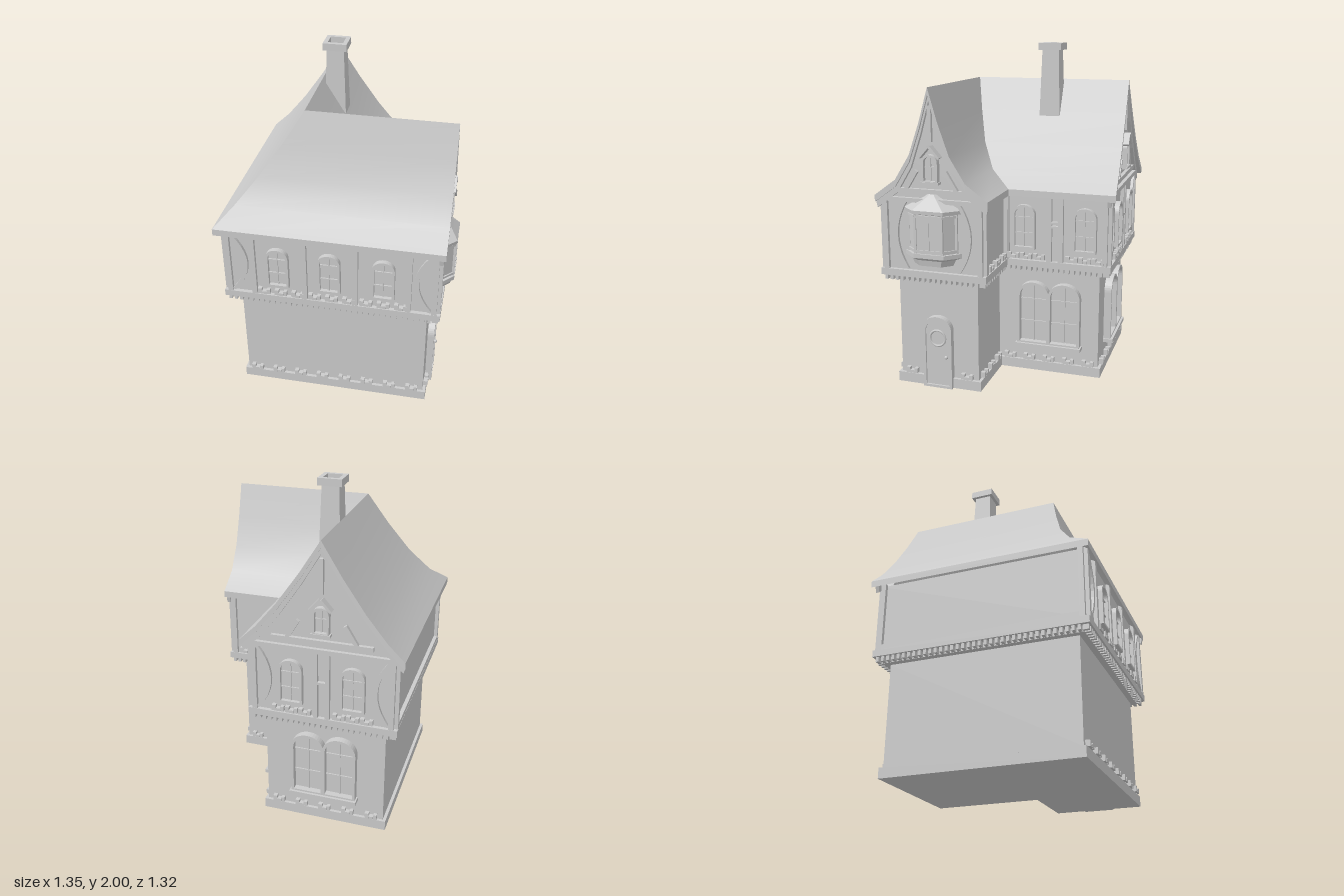
import * as THREE from 'three';
import { mergeGeometries } from 'three/addons/utils/BufferGeometryUtils.js';

const mat = new THREE.MeshStandardMaterial({ color: 0xcccccc, side: THREE.DoubleSide });

// Roof levels: height, half span of the long wing, half span of the short wing
const LEVELS = [[1.78, 0, 0], [1.59, 0.12, 0.055], [1.405, 0.25, 0.12], [1.26, 0.37, 0.21], [1.165, 0.47, 0.34]];
const RX = -0.46, RZ = 0.315; // ridge lines

function add(parent, name, geo, x = 0, y = 0, z = 0) {
  const m = new THREE.Mesh(geo, mat);
  m.name = name;
  m.position.set(x, y, z);
  parent.add(m);
  return m;
}
const box = (w, h, d) => new THREE.BoxGeometry(w, h, d);
const extrude = (shape, depth) => new THREE.ExtrudeGeometry(shape, { depth, bevelEnabled: false, curveSegments: 10 });
const poly = pts => new THREE.Shape(pts.map(p => new THREE.Vector2(p[0], p[1])));

// L-shaped plan grown outward by m, as [x, z]
function plan(m) {
  return [[-0.82 - m, 0.56 + m], [0.29 + m, 0.56 + m], [0.29 + m, 0.07 - m],
    [-0.1 + m, 0.07 - m], [-0.1 + m, -0.56 - m], [-0.82 - m, -0.56 - m]];
}
function slab(parent, name, m, y0, y1) {
  const geo = extrude(poly(plan(m).map(([x, z]) => [x, -z])), y1 - y0);
  add(parent, name, geo.rotateX(-Math.PI / 2), 0, y0, 0);
}

// Wall frame: local x runs along the wall, local z points outward
function wall(parent, name, x, z, rot) {
  const g = new THREE.Group();
  g.name = name;
  g.position.set(x, 0, z);
  g.rotation.y = rot;
  parent.add(g);
  return g;
}

function beam(g, x, y, w, h, tilt = 0, d = 0.022) {
  add(g, 'beam', box(w, h, d), x, y, d / 2).rotation.z = tilt;
}
const post = (g, x, w = 0.03, y0 = 0.73, y1 = 1.15) => beam(g, x, (y0 + y1) / 2, w, y1 - y0);

// Bowed timber from y0 to y1, bulging sideways by b
function brace(g, x, b, y0 = 0.74, y1 = 1.13, w = 0.022) {
  const s = new THREE.Shape(), mid = (y0 + y1) / 2, k = Math.sign(b) * w;
  s.moveTo(x, y0);
  s.quadraticCurveTo(x + 2 * b, mid, x, y1);
  s.lineTo(x - k, y1);
  s.quadraticCurveTo(x + 2 * b - k * 1.2, mid, x - k, y0);
  add(g, 'curvedBrace', extrude(s, 0.018));
}

function archOutline(path, w, y0, y1) {
  const r = w / 2;
  path.moveTo(-r, y0);
  path.lineTo(r, y0);
  path.lineTo(r, y1 - r * 0.9);
  path.absellipse(0, y1 - r * 0.9, r, r * 0.9, 0, Math.PI, false);
  path.lineTo(-r, y0);
  return path;
}

// Arched frame, pane and glazing bars
function archWindow(g, x, y0, y1, w, rows = 2, t = 0.014, depth = 0.03) {
  const frame = archOutline(new THREE.Shape(), w, y0, y1);
  frame.holes.push(archOutline(new THREE.Path(), w - 2 * t, y0 + t, y1 - t));
  add(g, 'windowFrame', extrude(frame, depth), x);
  add(g, 'windowPane', extrude(archOutline(new THREE.Shape(), w - t, y0 + t / 2, y1 - t / 2), 0.008), x);
  add(g, 'glazingBar', box(0.006, y1 - y0 - t, 0.008), x, (y0 + y1) / 2, 0.012);
  for (let i = 1; i <= rows; i++)
    add(g, 'glazingBar', box(w - t, 0.006, 0.008), x, y0 + (y1 - y0) * i / (rows + 0.8), 0.012);
}

function doubleWindow(g, x) {
  for (const s of [-1, 1]) archWindow(g, x + s * 0.096, 0.18, 0.58, 0.2, 2, 0.016, 0.045);
  add(g, 'windowSill', box(0.41, 0.022, 0.06), x, 0.175, 0.03);
}

// Clusters of small stones along a wall
function stones(g, x0, x1, y, n) {
  const parts = [];
  for (let i = 0; i < n; i++) {
    const c = x0 + (x1 - x0) * (i + 0.5) / n;
    parts.push(box(0.024, 0.034, 0.026).translate(c - 0.022, y, 0.013));
    parts.push(box(0.026, 0.017, 0.03).translate(c + 0.004, y - 0.008, 0.013));
    parts.push(box(0.02, 0.03, 0.024).translate(c + 0.028, y - 0.002, 0.013));
  }
  add(g, 'stones', mergeGeometries(parts));
}

// Strip between two polylines of equal length
function sheet(parent, name, P, Q) {
  const pos = [], idx = [];
  P.forEach((p, i) => {
    pos.push(...p, ...Q[i]);
    if (i) { const a = 2 * i - 2; idx.push(a, a + 2, a + 1, a + 1, a + 2, a + 3); }
  });
  const geo = new THREE.BufferGeometry();
  geo.setAttribute('position', new THREE.Float32BufferAttribute(pos, 3));
  geo.setIndex(idx);
  geo.computeVertexNormals();
  add(parent, name, geo);
}

function buildRoof(parent) {
  const roof = new THREE.Group();
  roof.name = 'roof';
  parent.add(roof);
  const down = L => L.map(([x, y, z]) => [x, y - 0.04, z]);
  const corner = s => LEVELS.map(([y, a, b]) => [RX + s * a, y, RZ - s * b]);
  const side = s => LEVELS.map(([y, , b]) => [0.38, y, RZ + s * b]);
  const rear = s => LEVELS.map(([y, a], i) => [RX + s * a, y, -0.64 - 0.006 * i]);
  const hip = corner(-1), valley = corner(1);
  const slopes = [[hip, side(1)], [rear(-1), hip], [side(-1), valley], [valley, rear(1)]];
  for (const [P, Q] of slopes) {
    sheet(roof, 'roofSlope', P, Q);
    sheet(roof, 'roofUnderside', down(Q), down(P));
    const eave = [P[4], Q[4]];
    sheet(roof, 'eaveEdge', down(eave), eave);
  }
  for (const e of [side(1), side(-1), rear(1), rear(-1)]) sheet(roof, 'gableEdge', e, down(e));
}

// Gable infill, curved bargeboards and small attic window; col picks the wing span
function gable(g, col, half) {
  const line = dy => LEVELS.map(L => [Math.min(L[col], half), L[0] - dy]);
  const mirror = L => [...L.slice(1).reverse().map(([x, y]) => [-x, y]), ...L];
  add(g, 'gableWall', extrude(poly(mirror(line(0.035))), 0.06), 0, 0, -0.06);
  const band = (a, b, k) => poly([...LEVELS.map(L => [k * L[col], L[0] - a]), ...LEVELS.map(L => [k * L[col] * 0.97, L[0] - b]).reverse()]);
  for (const k of [-1, 1]) {
    add(g, 'bargeboard', extrude(band(0.03, 0.075, k), 0.022));
    beam(g, k * half * 0.4, 1.26, 0.022, 0.13, k * 0.55);
    const hood = add(g, 'atticHood', box(0.085, 0.014, 0.045), k * 0.032, 1.425, 0.022);
    hood.rotation.z = -k * 0.85;
  }
  beam(g, 0, 1.2, half * 1.4, 0.025);
  beam(g, 0, 1.58, 0.022, 0.2);
  archWindow(g, 0, 1.25, 1.41, 0.095, 1, 0.012, 0.035);
  add(g, 'atticSill', box(0.11, 0.014, 0.04), 0, 1.25, 0.02);
}

// Faceted bay lofted from [height, scale] rings
function loft(g, name, rings) {
  const base = [[-0.16, 0], [-0.085, 0.07], [0.085, 0.07], [0.16, 0]], pos = [];
  const P = (r, i) => [base[i][0] * r[1], r[0], base[i][1] * r[1]];
  for (let k = 1; k < rings.length; k++) for (let i = 0; i < 3; i++) {
    const a = P(rings[k - 1], i), b = P(rings[k - 1], i + 1), c = P(rings[k], i + 1), d = P(rings[k], i);
    pos.push(...a, ...b, ...c, ...a, ...c, ...d);
  }
  const geo = new THREE.BufferGeometry();
  geo.setAttribute('position', new THREE.Float32BufferAttribute(pos, 3));
  geo.computeVertexNormals();
  add(g, name, geo);
}

function bayWindow(g) {
  loft(g, 'bayBody', [[0.77, 0.1], [0.775, 0.75], [0.81, 0.85], [0.825, 1.08], [0.85, 1.08], [0.85, 0.94], [1.08, 0.94]]);
  loft(g, 'bayRoof', [[1.075, 0.9], [1.08, 1.08], [1.1, 1.1], [1.14, 0.62], [1.165, 0.33], [1.19, 0.1], [1.2, 0]]);
  for (const s of [-1, 1]) {
    add(g, 'bayMullion', box(0.014, 0.23, 0.014), s * 0.08, 0.965, 0.066);
    add(g, 'bayMullion', box(0.014, 0.23, 0.014), s * 0.145, 0.965, 0.006);
    for (const y of [0.865, 1.065]) add(g, 'bayRail', box(0.1, 0.014, 0.012), s * 0.115, y, 0.035).rotation.y = s * 0.75;
  }
  for (const y of [0.865, 1.065]) add(g, 'bayRail', box(0.16, 0.014, 0.012), 0, y, 0.066);
  add(g, 'bayMullion', box(0.008, 0.2, 0.01), 0, 0.965, 0.066);
}

function door(g) {
  const frame = archOutline(new THREE.Shape(), 0.18, 0, 0.445);
  frame.holes.push(archOutline(new THREE.Path(), 0.145, 0.015, 0.42));
  add(g, 'doorFrame', extrude(frame, 0.04));
  add(g, 'doorLeaf', extrude(archOutline(new THREE.Shape(), 0.15, 0.012, 0.422), 0.028));
  add(g, 'doorPorthole', new THREE.TorusGeometry(0.048, 0.007, 6, 24), 0, 0.31, 0.028);
  add(g, 'doorKnob', new THREE.SphereGeometry(0.011, 10, 8), 0.058, 0.2, 0.042);
}

function chimney(parent) {
  const shaft = new THREE.CylinderGeometry(0.05 * Math.SQRT2, 0.064 * Math.SQRT2, 0.44, 4, 1, true).toNonIndexed();
  shaft.rotateY(Math.PI / 4).computeVertexNormals();
  add(parent, 'chimneyShaft', shaft, -0.385, 1.76, -0.182);
  const sq = r => [[-r, -r], [r, -r], [r, r], [-r, r]];
  const cap = poly(sq(0.07));
  cap.holes.push(poly(sq(0.045)));
  add(parent, 'chimneyCap', extrude(cap, 0.042).rotateX(-Math.PI / 2), -0.385, 1.958, -0.182);
}

export function createModel() {
  const house = new THREE.Group();
  house.name = 'house';
  const H = Math.PI / 2;

  // Stacked storeys
  slab(house, 'plinth', 0.018, 0, 0.06);
  slab(house, 'groundFloor', 0, 0.06, 0.66);
  slab(house, 'jettySoffit', 0.035, 0.66, 0.692);
  slab(house, 'jettyBeam', 0.078, 0.69, 0.73);
  slab(house, 'upperFloor', 0.055, 0.73, 1.145);

  // Joist ends under the jetty
  const joists = [], ring = plan(0.05);
  ring.forEach(([x, z], i) => {
    const [x2, z2] = ring[(i + 1) % ring.length], n = Math.round(Math.hypot(x2 - x, z2 - z) / 0.033);
    for (let k = 0; k < n; k++) joists.push(box(0.018, 0.03, 0.018).scale(x === x2 ? 2 : 1, 1, x === x2 ? 1 : 2)
      .translate(x + (x2 - x) * k / n, 0.676, z + (z2 - z) * k / n));
  });
  add(house, 'joistEnds', mergeGeometries(joists));

  // Ground floor walls
  stones(wall(house, 'frontBase', 0, 0.56, 0), -0.83, 0.29, 0.083, 8);
  const entry = wall(house, 'entryWall', 0.29, RZ, H);
  door(entry);
  stones(entry, -0.25, -0.1, 0.083, 1);
  stones(entry, 0.1, 0.25, 0.083, 1);
  stones(wall(house, 'courtBase', 0.095, 0.07, Math.PI), -0.19, 0.19, 0.083, 3);
  const courtLow = wall(house, 'courtWall', -0.1, 0, H);
  doubleWindow(courtLow, 0.255);
  stones(courtLow, -0.06, 0.56, 0.083, 5);
  const backLow = wall(house, 'backWall', RX, -0.56, Math.PI);
  doubleWindow(backLow, 0);
  stones(backLow, -0.36, 0.36, 0.083, 5);

  // Upper front
  const front = wall(house, 'upperFront', 0, 0.615, 0);
  for (const x of [-0.862, -0.715, -0.415, -0.12, 0.185, 0.332]) post(front, x);
  for (const x of [-0.57, -0.27, 0.04]) archWindow(front, x, 0.8, 1.06, 0.13);
  brace(front, -0.83, 0.085);
  brace(front, 0.3, -0.085);
  stones(front, -0.71, 0.19, 0.755, 9);

  // Upper right gable with the bay
  const right = wall(house, 'upperRight', 0.345, RZ, H);
  for (const s of [-1, 1]) {
    post(right, s * 0.287);
    brace(right, s * 0.17, s * 0.065, 0.74, 1.14);
  }
  beam(right, 0, 1.145, 0.6, 0.025);
  bayWindow(right);
  gable(right, 2, 0.3);

  // Upper court walls
  const court = wall(house, 'upperCourt', -0.045, 0, H);
  for (const x of [0.0, 0.265, 0.335, 0.6]) post(court, x);
  for (const x of [0.11, 0.48]) archWindow(court, x, 0.8, 1.07, 0.14);
  for (const y of [0.945, 0.97]) beam(court, 0.3, y, 0.07, 0.012);
  stones(court, 0.0, 0.24, 0.755, 3);
  stones(court, 0.36, 0.6, 0.755, 3);
  const nook = wall(house, 'upperNook', 0.15, 0.015, Math.PI);
  for (const x of [-0.18, 0.18]) post(nook, x);
  stones(nook, -0.17, 0.17, 0.755, 3);

  // Upper back gable
  const back = wall(house, 'upperBack', RX, -0.615, Math.PI);
  for (const s of [-1, 1]) {
    post(back, s * 0.4);
    post(back, s * 0.035, 0.025);
    archWindow(back, s * 0.18, 0.8, 1.07, 0.14);
    brace(back, s * 0.37, -s * 0.075);
    stones(back, s * 0.18 - 0.12, s * 0.18 + 0.12, 0.755, 3);
  }
  beam(back, 0, 0.95, 0.06, 0.014);
  beam(back, 0, 1.145, 0.82, 0.028);
  gable(back, 1, 0.415);

  // Upper left wall
  const left = wall(house, 'upperLeft', -0.875, 0, -H);
  for (const s of [-1, 1]) post(left, s * 0.6);
  beam(left, 0, 0.745, 1.2, 0.03);

  buildRoof(house);
  chimney(house);
  return house;
}
